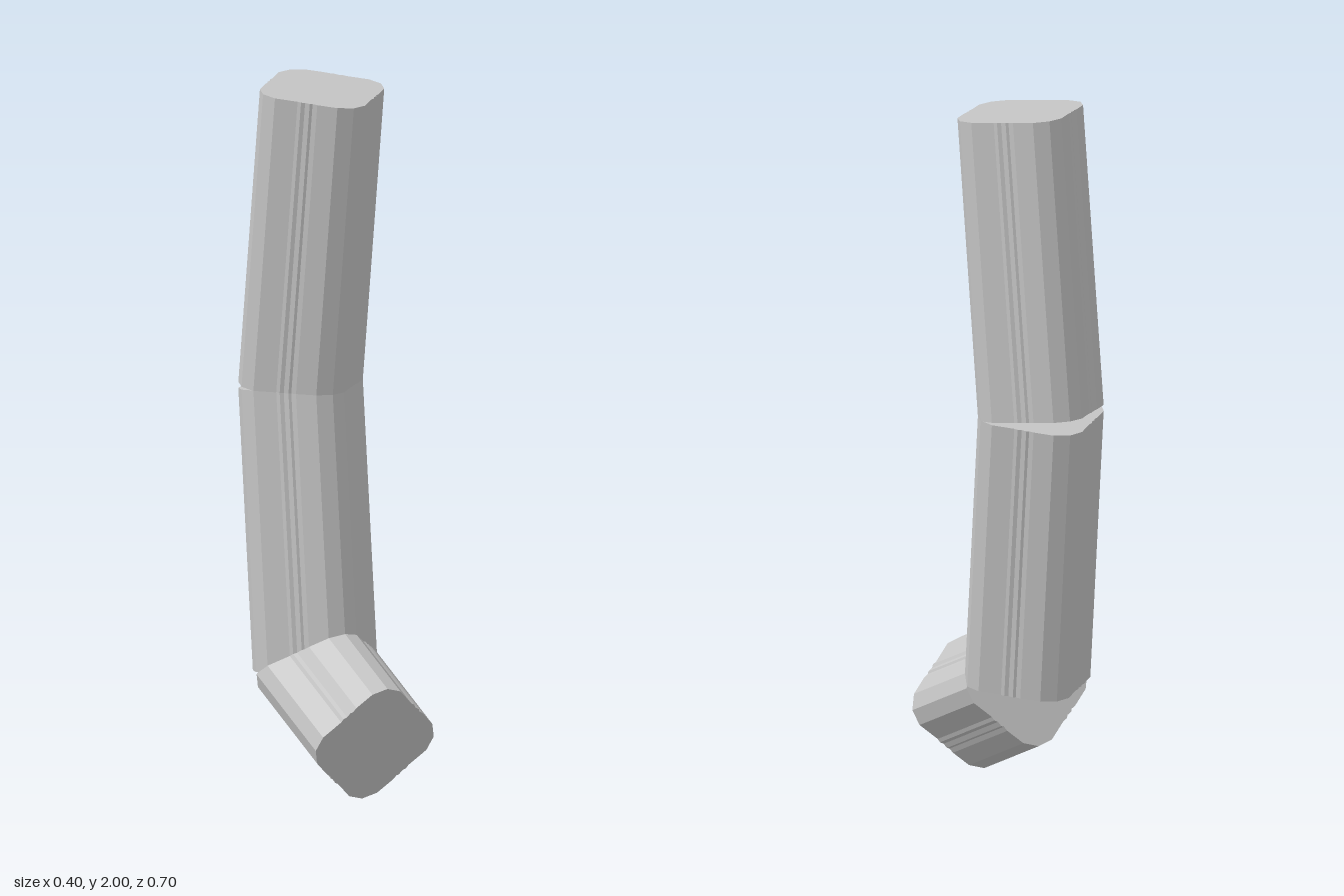
import * as THREE from 'three';

const grey = new THREE.MeshStandardMaterial({ color: 0xc4c4c4 });
grey.name = 'grey';

// Diamond cross-section with blunted corners and faintly ridged flats
function crossSection() {
  const quarter = [[0.188, 0], [0.174, 0.044]];
  [0.36, 0.42, 0.48, 0.56, 0.6, 0.68].forEach((t, i) => {
    const ridge = i % 2 ? 0.0012 : -0.0012;
    quarter.push([0.174 - 0.129 * t + ridge, 0.044 + 0.13 * t + ridge]);
  });
  quarter.push([0.045, 0.174]);
  const points = [];
  for (let q = 0; q < 4; q++) {
    const c = [1, 0, -1, 0][q], s = [0, 1, 0, -1][q];
    for (const [x, y] of quarter) points.push(new THREE.Vector2(x * c - y * s, x * s + y * c));
  }
  return new THREE.Shape(points);
}

// Straight prism between the centres of its two end faces
function prism(name, start, end) {
  const a = new THREE.Vector3(...start), b = new THREE.Vector3(...end);
  const geometry = new THREE.ExtrudeGeometry(crossSection(), {
    depth: a.distanceTo(b), bevelEnabled: false,
  });
  const mesh = new THREE.Mesh(geometry, grey);
  mesh.name = name;
  mesh.position.copy(a);
  mesh.up.set(0, 0, 1);
  mesh.lookAt(b);
  return mesh;
}

export function createModel() {
  const model = new THREE.Group();
  model.name = 'jointedPost';
  model.add(
    prism('upperSegment', [-0.013, 1.128, -0.158], [0.011, 1.982, -0.076]),
    prism('middleSegment', [-0.013, 0.331, -0.073], [-0.013, 1.125, -0.158]),
    prism('lowerSegment', [-0.013, 0.175, 0.276], [-0.013, 0.325, -0.07]),
  );
  return model;
}
